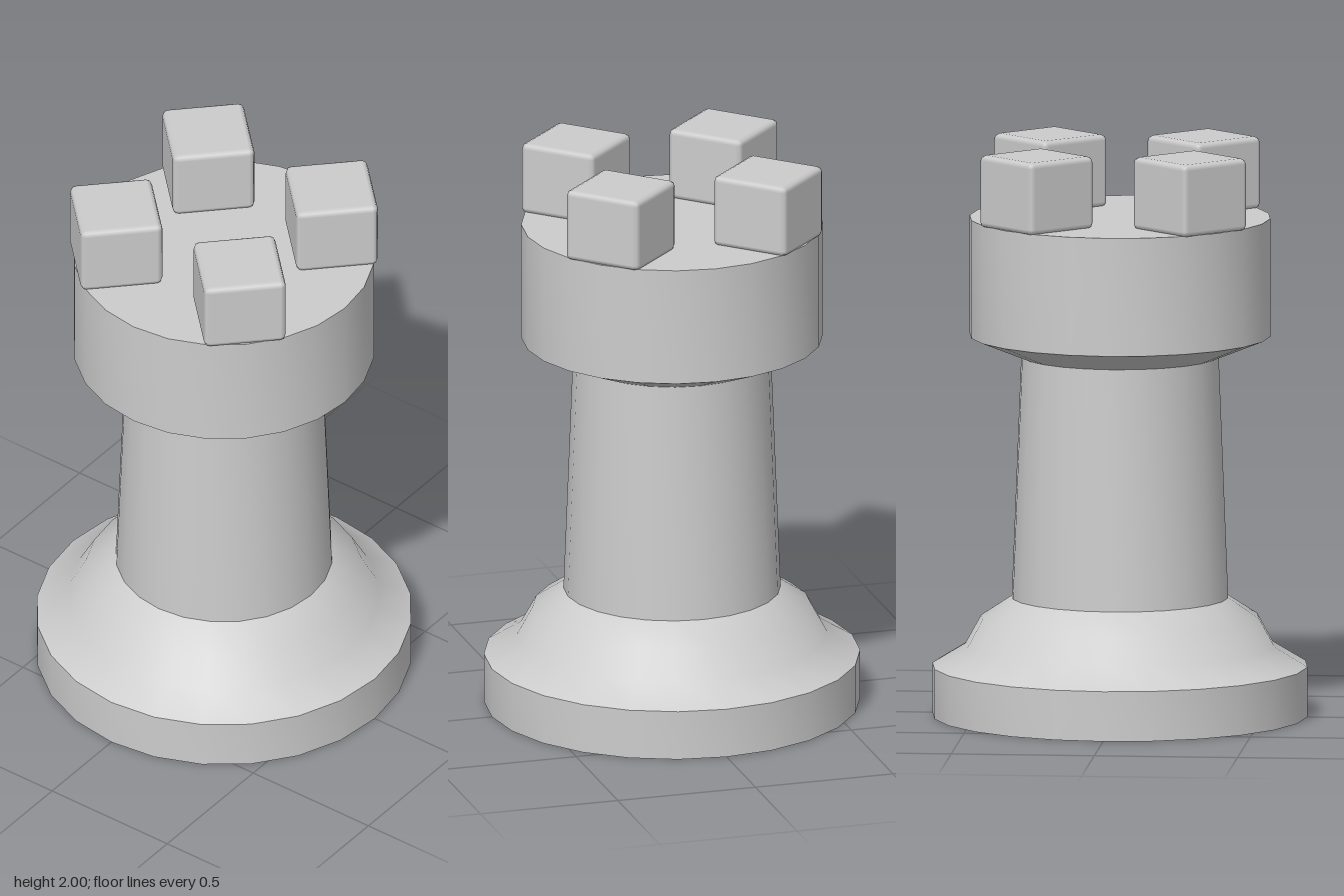
import * as THREE from 'three';
import { toCreasedNormals } from 'three/addons/utils/BufferGeometryUtils.js';
import { RoundedBoxGeometry } from 'three/addons/geometries/RoundedBoxGeometry.js';

const SIDES = 24;

export function createModel() {
  const model = new THREE.Group();
  model.name = 'rookChessPiece';
  const stone = new THREE.MeshStandardMaterial({ color: 0xcccccc });
  stone.name = 'light grey';

  // Turned part from [radius, height] points, listed bottom to top
  function addTurned(name, profile) {
    const points = profile.map(([r, y]) => new THREE.Vector2(r, y));
    const geometry = toCreasedNormals(new THREE.LatheGeometry(points, SIDES), 0.6);
    const mesh = new THREE.Mesh(geometry, stone);
    mesh.name = name;
    model.add(mesh);
  }

  // Foot disc, stepped flare, tapering shaft and wide head
  addTurned('foot', [[0, 0], [0.655, 0], [0.655, 0.175]]);
  addTurned('flare', [[0.655, 0.175], [0.54, 0.245], [0.485, 0.345], [0.378, 0.415]]);
  addTurned('shaft', [[0.378, 0.415], [0.345, 1.262]]);
  addTurned('head', [[0.345, 1.262], [0.525, 1.335], [0.525, 1.75], [0, 1.75]]);

  // Four bevelled battlements, turned to face outwards
  const block = new RoundedBoxGeometry(0.288, 0.255, 0.288, 1, 0.02);
  for (const x of [-1, 1]) {
    for (const z of [-1, 1]) {
      const battlement = new THREE.Mesh(block, stone);
      battlement.name = `battlement${z > 0 ? 'Front' : 'Back'}${x > 0 ? 'Left' : 'Right'}`;
      battlement.position.set(x * 0.268, 1.8725, z * 0.268);
      battlement.rotation.y = Math.PI / 4;
      model.add(battlement);
    }
  }
  return model;
}
